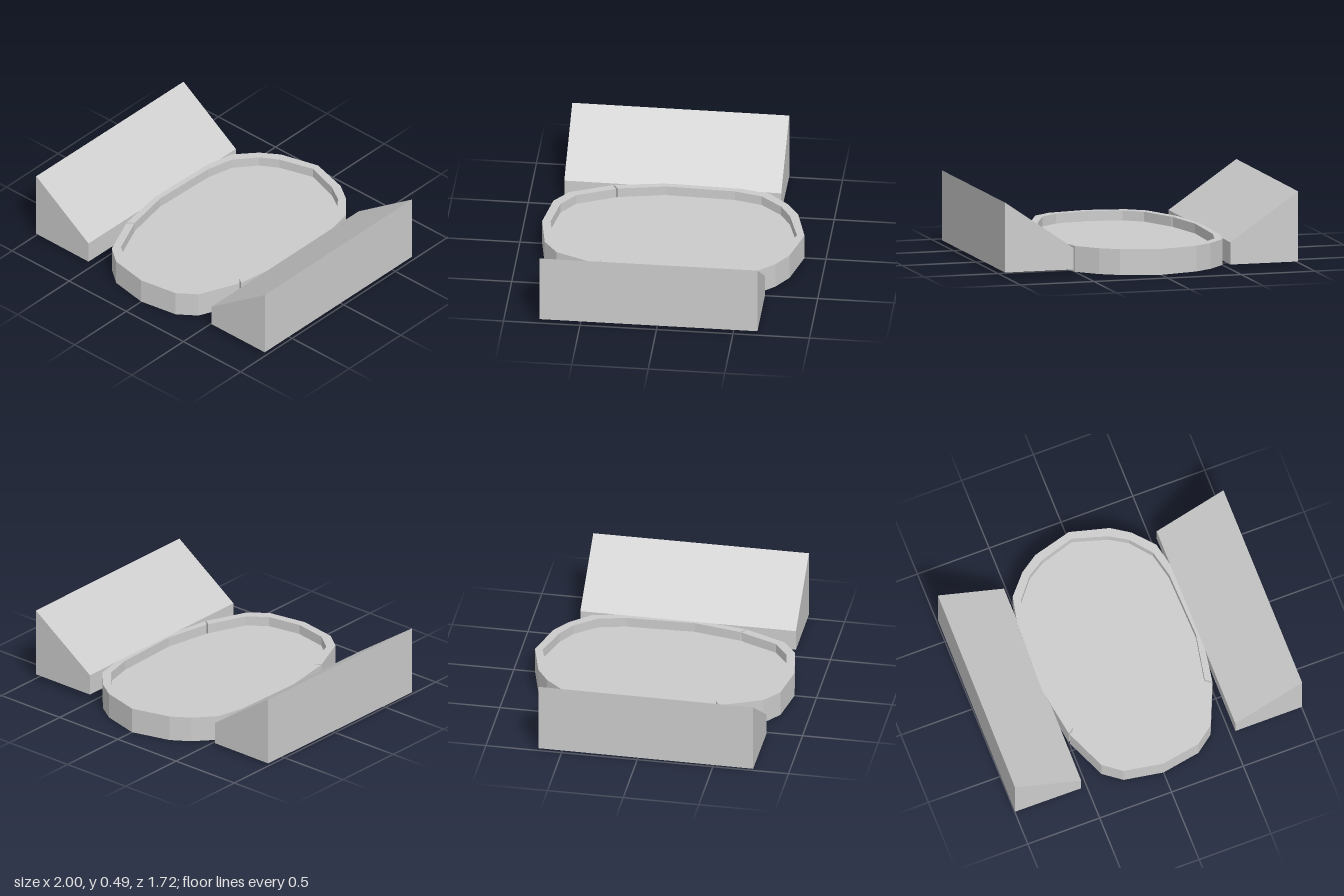
import * as THREE from 'three';

const material = new THREE.MeshStandardMaterial({ color: 0xcccccc, flatShading: true });

// Half outlines as [x, z], from the back tip to the front tip
const OUTER = [[0, -0.86], [0.26, -0.79], [0.38, -0.71], [0.5, -0.575], [0.54, -0.39],
  [0.555, 0.1], [0.5, 0.44], [0.38, 0.72], [0.26, 0.81], [0, 0.855]];
const INNER = [[0, -0.81], [0.23, -0.74], [0.345, -0.67], [0.46, -0.53], [0.503, -0.35],
  [0.517, 0.1], [0.458, 0.41], [0.345, 0.67], [0.225, 0.76], [0, 0.8]];
const SPLIT = 6; // outline point where the rim is cut
const RIM_HEIGHT = 0.17;
const FLOOR_HEIGHT = 0.105;

const mirror = (points) => points.map(([x, z]) => [-x, z]);

// Extrude a plan outline upward from the ground
function slab(name, points, height) {
  const shape = new THREE.Shape(points.map(([x, z]) => new THREE.Vector2(x, -z)));
  const geometry = new THREE.ExtrudeGeometry(shape, { depth: height, bevelEnabled: false });
  geometry.rotateX(-Math.PI / 2);
  const mesh = new THREE.Mesh(geometry, material);
  mesh.name = name;
  return mesh;
}

// Full run across both sides; half outline starts or ends at the centre tip
function acrossTip(half) {
  return [...mirror(half).reverse(), ...half.slice(1)];
}

// Ring section between the outer and inner runs
function rimSection(name, outerHalf, innerHalf) {
  return slab(name, [...acrossTip(outerHalf), ...acrossTip(innerHalf).reverse()], RIM_HEIGHT);
}

// Sloped side stand, profile in x/y, extruded along z
function stand(name, profile, zBack, zFront) {
  const shape = new THREE.Shape(profile.map(([x, y]) => new THREE.Vector2(x, y)));
  const geometry = new THREE.ExtrudeGeometry(shape, { depth: zFront - zBack, bevelEnabled: false });
  geometry.translate(0, 0, zBack);
  const mesh = new THREE.Mesh(geometry, material);
  mesh.name = name;
  return mesh;
}

export function createModel() {
  const model = new THREE.Group();
  model.name = 'arena';

  // Sunken floor
  model.add(slab('floor', [...INNER, ...mirror(INNER).reverse().slice(1, -1)], FLOOR_HEIGHT));

  // Raised rim in two sections with a narrow slit on each side
  model.add(rimSection('backRim', OUTER.slice(0, SPLIT + 1), INNER.slice(0, SPLIT + 1)));
  const slit = ([x, z]) => [x - 0.004, z + 0.01];
  const frontHalf = (half) => half.slice(SPLIT).map((p, i) => (i === 0 ? slit(p) : p)).reverse();
  model.add(rimSection('frontRim', frontHalf(OUTER), frontHalf(INNER)));

  // Side stands, the right one turned very slightly
  model.add(stand('leftStand', [[0.535, 0.03], [1, 0.03], [1, 0.49], [0.535, 0.17]], -0.66, 0.765));
  const right = stand('rightStand', [[-0.535, 0.012], [-0.535, 0.158], [-0.995, 0.473], [-0.995, 0.012]], -0.647, 0.772);
  right.rotation.y = -0.006;
  model.add(right);

  return model;
}
